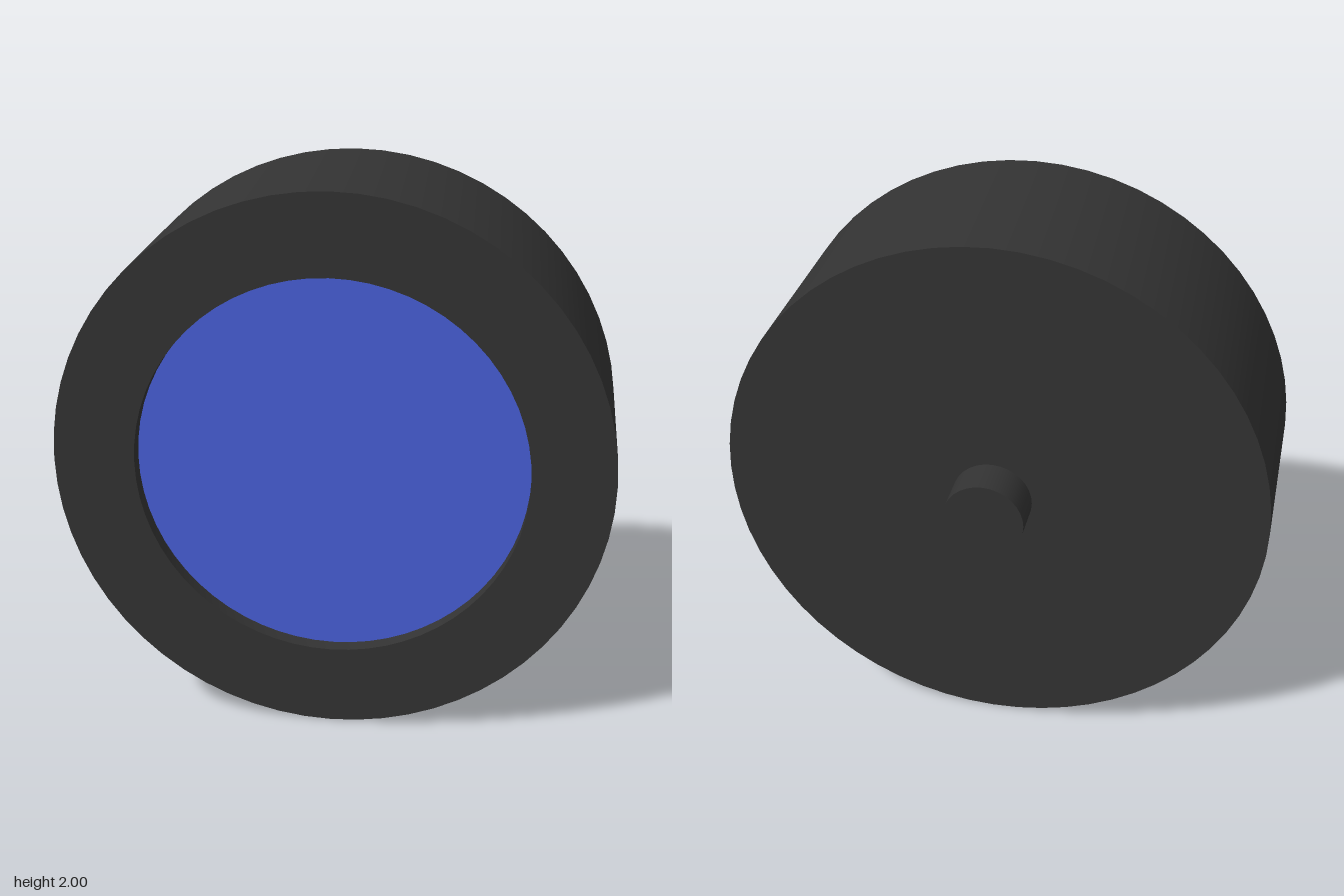
import * as THREE from 'three';
import { toCreasedNormals } from 'three/addons/utils/BufferGeometryUtils.js';

const RADIUS = 1, FRONT = 0.441, BACK = -0.294;
const RECESS_RADIUS = 0.705, RECESS_FLOOR = FRONT - 0.058;
const STUB_RADIUS = 0.147, STUB_END = -0.441;

export function createModel() {
  const model = new THREE.Group();
  model.name = 'wheel';
  const dark = new THREE.MeshStandardMaterial({ color: 0x333333 });
  const blue = new THREE.MeshStandardMaterial({ color: 0x485fd8 });

  const add = (name, geometry, material) => {
    const mesh = new THREE.Mesh(geometry, material);
    mesh.name = name;
    mesh.position.y = RADIUS;
    model.add(mesh);
  };

  // Solid tyre turned from a profile, with a shallow recess in the front face
  const profile = [
    [0, BACK], [RADIUS, BACK], [RADIUS, FRONT],
    [RECESS_RADIUS, FRONT], [RECESS_RADIUS, RECESS_FLOOR],
  ].map(([r, z]) => new THREE.Vector2(r, z));
  const tyre = new THREE.LatheGeometry(profile, 64).rotateX(Math.PI / 2);
  add('tyre', toCreasedNormals(tyre, 0.5), dark);

  // Coloured hub disc closing the recess
  const hub = new THREE.CircleGeometry(RECESS_RADIUS, 64).translate(0, 0, RECESS_FLOOR);
  add('hubDisc', hub, blue);

  // Axle stub on the back
  const length = BACK - STUB_END;
  const axle = new THREE.CylinderGeometry(STUB_RADIUS, STUB_RADIUS, length, 32)
    .rotateX(Math.PI / 2)
    .translate(0, 0, (BACK + STUB_END) / 2);
  add('axleStub', axle, dark);

  return model;
}
